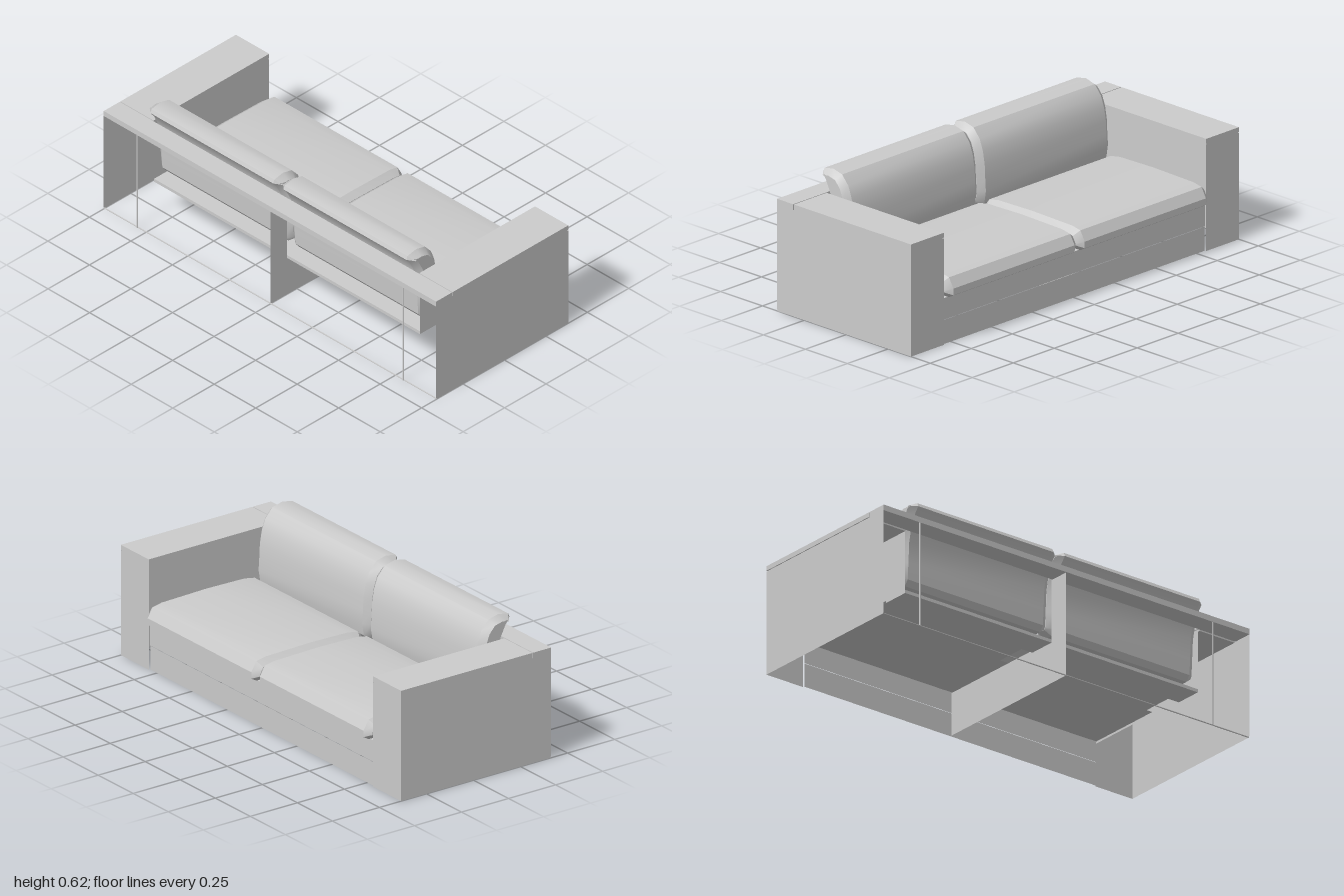
import * as THREE from 'three';
import { toCreasedNormals } from 'three/addons/utils/BufferGeometryUtils.js';

const solid = new THREE.MeshStandardMaterial({ color: 0xcccccc });
const thin = new THREE.MeshStandardMaterial({ color: 0xcccccc, side: THREE.DoubleSide });

export function createModel() {
  const model = new THREE.Group();

  function add(name, geometry, material) {
    const mesh = new THREE.Mesh(geometry, material);
    mesh.name = name;
    model.add(mesh);
  }

  // Box given by its limits on each axis
  function box(name, [x0, x1], [y0, y1], [z0, z1]) {
    const g = new THREE.BoxGeometry(x1 - x0, y1 - y0, z1 - z0);
    g.translate((x0 + x1) / 2, (y0 + y1) / 2, (z0 + z1) / 2);
    add(name, g, solid);
  }

  // Thin upright panel: an x-y outline standing at depth z
  function panel(name, points, z) {
    const g = new THREE.ShapeGeometry(new THREE.Shape(points.map(p => new THREE.Vector2(...p))));
    g.translate(0, 0, z);
    add(name, g, thin);
  }

  // Thin board facing the front of the seat (+x)
  function frontBoard(name, x, [y0, y1], [z0, z1]) {
    const g = new THREE.PlaneGeometry(z1 - z0, y1 - y0);
    g.rotateY(Math.PI / 2);
    g.translate(x, (y0 + y1) / 2, (z0 + z1) / 2);
    add(name, g, thin);
  }

  // Thin horizontal board
  function deck(name, [x0, x1], y, [z0, z1]) {
    const g = new THREE.PlaneGeometry(x1 - x0, z1 - z0);
    g.rotateX(-Math.PI / 2);
    g.translate((x0 + x1) / 2, y, (z0 + z1) / 2);
    add(name, g, thin);
  }

  // Cushion: x-y outline drawn across the width, with chamfered ends
  function cushion(name, points, z0, z1) {
    const bevel = 0.03;
    const shape = new THREE.Shape(points.map(p => new THREE.Vector2(...p)));
    const g = new THREE.ExtrudeGeometry(shape, {
      depth: z1 - z0 - 2 * bevel, bevelEnabled: true, bevelThickness: bevel,
      bevelSize: 0.024, bevelOffset: -0.024, bevelSegments: 1,
    });
    g.translate(0, 0, z0 + bevel);
    add(name, toCreasedNormals(g, 0.5), solid);
  }

  // Arms: outer side, inner side, front end and a cap over a shadow groove
  for (const s of [1, -1]) {
    const side = s > 0 ? 'left' : 'right';
    const span = s > 0 ? [0.8, 1] : [-1, -0.8];
    panel(side + 'ArmOuterPanel', [
      [-0.405, 0], [0.385, 0], [0.385, 0.484], [-0.317, 0.484],
      [-0.317, 0.51], [-0.413, 0.51], [-0.413, 0.008],
    ], s);
    panel(side + 'ArmInnerPanel', [
      [-0.31, 0.2], [0.385, 0.2], [0.385, 0.484], [-0.31, 0.484],
    ], s * 0.8);
    frontBoard(side + 'ArmFront', 0.385, [0, 0.484], span);
    box(side + 'ArmGroove', [-0.316, 0.382], [0.478, 0.49], [span[0] + 0.004, span[1] - 0.004]);
    box(side + 'ArmCap', [-0.313, 0.385], [0.488, 0.51], span);
    // Slim upright edge of the open back
    box(side + 'BackEdge', [-0.413, -0.409], [0, 0.484], [s * 0.8 - 0.003, s * 0.8 + 0.003]);
  }

  // Open back frame: top rail, slim floor edge, seat-height rail and divider
  box('backTopRail', [-0.413, -0.317], [0.484, 0.51], [-1, 1]);
  box('backFloorEdge', [-0.41, -0.405], [0, 0.003], [-1, 1]);
  box('rearSeatRail', [-0.31, -0.18], [0.19, 0.205], [-0.8, 0.8]);
  panel('centreDivider', [
    [-0.41, 0], [0.37, 0], [0.37, 0.2], [-0.31, 0.2], [-0.31, 0.484], [-0.41, 0.484],
  ], 0);

  // Base below the seat
  frontBoard('basePlinth', 0.378, [0, 0.109], [-0.797, 0.797]);
  frontBoard('baseRail', 0.38, [0.112, 0.21], [-0.797, 0.797]);
  deck('seatDeck', [0, 0.38], 0.21, [-0.8, 0.8]);

  // Seat and back cushions, one pair per place
  const seatProfile = [
    [-0.165, 0.211], [0.385, 0.209], [0.413, 0.225], [0.413, 0.255], [0.387, 0.3],
    [0.34, 0.309], [0.1, 0.314], [-0.1, 0.31], [-0.155, 0.3], [-0.178, 0.27], [-0.178, 0.235],
  ];
  const backProfile = [
    [-0.27, 0.245], [-0.215, 0.245], [-0.185, 0.275], [-0.176, 0.33], [-0.18, 0.39],
    [-0.183, 0.45], [-0.194, 0.51], [-0.213, 0.56], [-0.25, 0.602], [-0.302, 0.615],
    [-0.355, 0.605], [-0.362, 0.588], [-0.34, 0.56], [-0.315, 0.51], [-0.3, 0.44],
    [-0.295, 0.35], [-0.29, 0.27],
  ];
  for (const [side, z0, z1] of [['left', 0.001, 0.8], ['right', -0.8, -0.001]]) {
    cushion(side + 'SeatCushion', seatProfile, z0, z1);
    cushion(side + 'BackCushion', backProfile, z0, z1);
  }

  return model;
}
